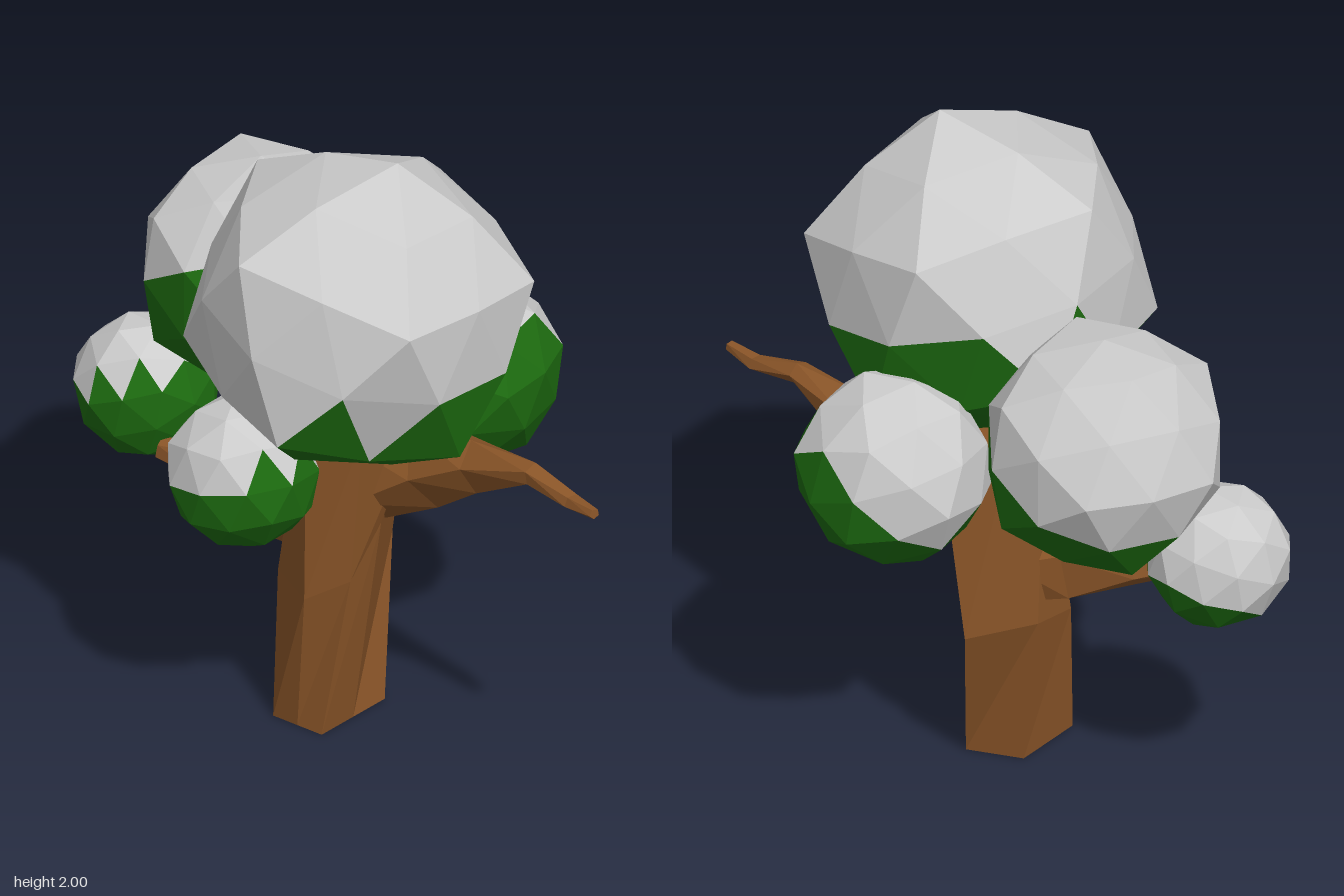
import * as THREE from 'three';

const material = (color) => new THREE.MeshStandardMaterial({ color, flatShading: true });
const V = (a) => new THREE.Vector3(...a);

function meshFrom(positions, mat, name) {
  const g = new THREE.BufferGeometry();
  g.setAttribute('position', new THREE.Float32BufferAttribute(positions, 3));
  g.computeVertexNormals();
  const m = new THREE.Mesh(g, mat);
  m.name = name;
  return m;
}

// Closed faceted skin over loops of corners
function loft(name, loops, mat) {
  const pos = [];
  const tri = (...p) => p.forEach((q) => pos.push(q.x, q.y, q.z));
  const middle = (loop) => loop.reduce((s, p) => s.add(p), new THREE.Vector3()).divideScalar(loop.length);
  const sides = loops[0].length, last = loops.length - 1;
  const start = middle(loops[0]), end = middle(loops[last]);
  for (let j = 0; j < sides; j++) {
    const k = (j + 1) % sides;
    for (let i = 0; i < last; i++) {
      const [a, b, c, e] = [loops[i][j], loops[i][k], loops[i + 1][k], loops[i + 1][j]];
      tri(a, e, b);
      tri(b, e, c);
    }
    tri(start, loops[0][j], loops[0][k]);
    tri(end, loops[last][k], loops[last][j]);
  }
  return meshFrom(pos, mat, name);
}

// Limb through rings [x, y, z, radius in xy, radius towards z]
function limb(name, rings, sides, twist, mat) {
  const centres = rings.map((r) => V(r.slice(0, 3)));
  const loops = rings.map((r, i) => {
    const d = centres[Math.min(i + 1, rings.length - 1)].clone()
      .sub(centres[Math.max(i - 1, 0)]).normalize();
    const u = d.clone().cross(V([0, 0, 1])).normalize();
    const v = u.clone().cross(d);
    return Array.from({ length: sides }, (_, j) => {
      const a = (j / sides) * Math.PI * 2 + i * twist;
      return centres[i].clone().addScaledVector(u, Math.cos(a) * r[3])
        .addScaledVector(v, Math.sin(a) * r[4]);
    });
  });
  return loft(name, loops, mat);
}

// Subdivided icosahedron turned so two neighbouring corners point along a and b;
// facets turned towards the snow direction are grey, the others green
function foliage({ name, centre, radius, a, b, mid, snow, limit }, snowMat, leafMat) {
  const A = V(a).normalize(), B = V(b).normalize();
  const y = A.clone().add(B).normalize();
  const x = A.clone().sub(B);
  x.addScaledVector(y, -x.dot(y)).normalize();
  const turn = new THREE.Matrix4().makeBasis(x, y, x.clone().cross(y));
  const p = new THREE.IcosahedronGeometry(1, 1).getAttribute('position');
  const s = V(snow).normalize();
  const snowPos = [], leafPos = [];
  for (let i = 0; i < p.count; i += 3) {
    const corners = [0, 1, 2].map((k) => {
      const q = new THREE.Vector3().fromBufferAttribute(p, i + k);
      const isCorner = Math.abs(Math.max(...q.toArray().map(Math.abs)) - 0.851) < 0.01;
      return q.multiplyScalar(isCorner ? 1 : mid).applyMatrix4(turn);
    });
    const facing = corners[0].clone().add(corners[1]).add(corners[2]).normalize().dot(s);
    const out = facing > limit ? snowPos : leafPos;
    for (const q of corners) out.push(...q.multiplyScalar(radius).toArray());
  }
  const group = new THREE.Group();
  group.name = name;
  group.position.set(...centre);
  group.add(meshFrom(snowPos, snowMat, 'snow'), meshFrom(leafPos, leafMat, 'leaves'));
  return group;
}

export function createModel() {
  const tree = new THREE.Group();
  tree.name = 'snowyTree';
  const bark = material(0x8a5528), leaf = material(0x1d6b10), snow = material(0xcccccc);

  // Trunk: four-cornered foot, bulging middle, wide fork
  tree.add(loft('trunk', [
    [[-0.1, 0, -0.08], [0.08, 0, -0.08], [0.04, 0, 0.06], [0, 0, 0.2], [-0.09, 0, 0.175], [-0.18, 0, 0.15]],
    [[-0.16, 0.5, -0.13], [0.03, 0.48, -0.25], [0.14, 0.69, 0.08], [0.08, 0.52, 0.17], [-0.03, 0.48, 0.26], [-0.2, 0.45, 0.07]],
    [[-0.08, 1.06, -0.18], [0.12, 1.06, -0.2], [0.25, 1.06, 0.03], [0.14, 1.06, 0.21], [-0.05, 1.06, 0.2], [-0.14, 1.06, 0]],
  ].map((ring) => ring.map(V)), bark));

  // Branches
  tree.add(limb('leftBranch', [
    [0.06, 0.82, 0, 0.17, 0.15],
    [0.28, 0.9, 0.03, 0.14, 0.12],
    [0.47, 0.965, 0.1, 0.085, 0.08],
    [0.69, 1.035, 0.2, 0.035, 0.04],
    [0.84, 1.005, 0.26, 0.025, 0.03],
    [0.94, 1.015, 0.32, 0.016, 0.018],
  ], 5, 0.3, bark));
  tree.add(limb('rightBranch', [
    [-0.06, 0.63, 0, 0.13, 0.11],
    [-0.23, 0.645, 0, 0.12, 0.1],
    [-0.44, 0.7, -0.02, 0.07, 0.07],
    [-0.62, 0.73, -0.01, 0.035, 0.035],
  ], 5, 0.3, bark));

  // Foliage clumps
  const clumps = [
    { name: 'mainCrown', centre: [0.125, 1.475, 0.21], radius: 0.54, mid: 0.905,
      a: [0.13, 0.52, 0.01], b: [0.05, 0.24, -0.47], snow: [0, 1, 0.15], limit: -0.22 },
    { name: 'backRightCrown', centre: [-0.42, 1.25, -0.3], radius: 0.392, mid: 0.93,
      a: [-0.04, 0, -0.39], b: [-0.37, 0, -0.09], snow: [-0.4, 0.85, -0.5], limit: 0.02 },
    { name: 'backLeftCrown', centre: [0.24, 1.06, -0.29], radius: 0.305, mid: 0.965,
      a: [0.1, 0.28, 0.04], b: [0.26, 0.06, -0.12], snow: [-0.5, 0.85, -0.15], limit: 0.05 },
    { name: 'rightClump', centre: [-0.73, 0.85, -0.155], radius: 0.226, mid: 0.98,
      a: [-0.05, 0.2, 0.08], b: [0.12, 0.08, 0.16], snow: [-0.35, 0.9, -0.4], limit: 0.03 },
    { name: 'frontClump', centre: [-0.23, 0.87, 0.25], radius: 0.242, mid: 0.975,
      a: [-0.04, 0.22, -0.06], b: [0.02, 0.1, 0.22], snow: [-0.4, 0.9, -0.1], limit: 0.05 },
  ];
  for (const c of clumps) tree.add(foliage(c, snow, leaf));
  return tree;
}
